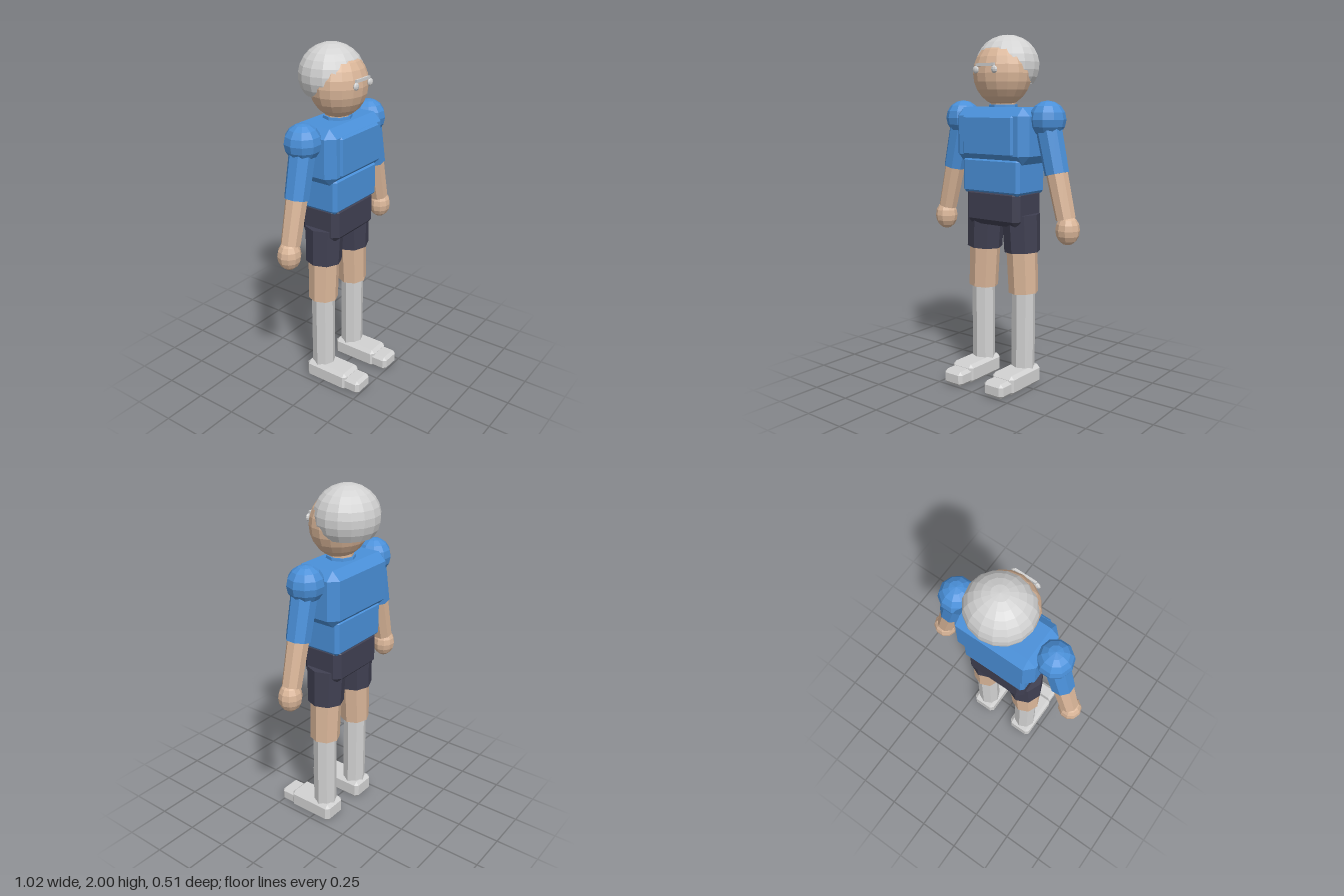
import * as THREE from 'three';
import { ConvexGeometry } from 'three/addons/geometries/ConvexGeometry.js';

const flat = (name, color) => {
  const m = new THREE.MeshStandardMaterial({ color, flatShading: true });
  m.name = name;
  return m;
};

export function createModel() {
  const model = new THREE.Group();
  model.name = 'figure';
  const blue = flat('shirtBlue', 0x4a90d9);
  const navy = flat('shortsDark', 0x404052);
  const skin = flat('skin', 0xdab699);
  const grey = flat('lightGrey', 0xd2d2d2);
  grey.side = THREE.DoubleSide;

  const add = (name, geometry, material, parent = model) => {
    const mesh = new THREE.Mesh(geometry, material);
    mesh.name = name;
    parent.add(mesh);
    return mesh;
  };

  // Box with every edge cut at 45 degrees, given by its limits
  const chamferBox = (name, [x0, x1], [y0, y1], [z0, z1], c, material, parent) => {
    const half = [(x1 - x0) / 2, (y1 - y0) / 2, (z1 - z0) / 2];
    const points = [];
    for (const sx of [-1, 1]) for (const sy of [-1, 1]) for (const sz of [-1, 1])
      for (let axis = 0; axis < 3; axis++) {
        const p = half.map((h, i) => (i === axis ? h : h - c));
        points.push(new THREE.Vector3(p[0] * sx, p[1] * sy, p[2] * sz));
      }
    const mesh = add(name, new ConvexGeometry(points), material, parent);
    mesh.position.set((x0 + x1) / 2, (y0 + y1) / 2, (z0 + z1) / 2);
    return mesh;
  };

  // Tapered eight-sided limb between an upper and a lower point
  const limb = (name, top, bottom, rTop, rBottom, material, parent, turn = 0) => {
    const a = new THREE.Vector3(...top), b = new THREE.Vector3(...bottom);
    const geometry = new THREE.CylinderGeometry(rTop, rBottom, a.distanceTo(b), 8).rotateY(turn);
    const mesh = add(name, geometry, material, parent);
    mesh.position.copy(a).add(b).multiplyScalar(0.5);
    mesh.quaternion.setFromUnitVectors(new THREE.Vector3(0, 1, 0), a.sub(b).normalize());
    return mesh;
  };

  const ball = (name, center, radii, material, parent, w = 16, h = 12, cut = Math.PI) => {
    const geometry = new THREE.SphereGeometry(1, w, h, 0, Math.PI * 2, 0, cut).scale(...radii);
    const mesh = add(name, geometry, material, parent);
    mesh.position.set(...center);
    return mesh;
  };

  // Head, hair cap and neck
  ball('head', [0, 1.785, -0.03], [0.173, 0.18, 0.155], skin);
  ball('hair', [0, 1.83, -0.079], [0.185, 0.17, 0.177], grey, model, 16, 9, Math.PI * 0.7);
  limb('neck', [0, 1.66, -0.04], [0, 1.58, -0.04], 0.07, 0.07, skin);
  limb('collar', [0, 1.615, -0.04], [0, 1.58, -0.04], 0.08, 0.085, blue);

  // Glasses: two small lenses under a thin bar
  const glasses = new THREE.Group();
  glasses.name = 'glasses';
  model.add(glasses);
  for (const s of [-1, 1])
    ball('lens', [s * 0.064, 1.803, 0.126], [0.021, 0.021, 0.012], grey, glasses, 8, 6);
  const bar = add('glassesBar', new THREE.BoxGeometry(0.125, 0.016, 0.012), grey, glasses);
  bar.position.set(0, 1.829, 0.123);

  // Torso and hips
  chamferBox('chest', [-0.253, 0.253], [1.288, 1.6], [-0.19, 0.105], 0.047, blue);
  chamferBox('chestPanel', [-0.178, 0.178], [1.33, 1.555], [0.085, 0.117], 0.012, blue);
  chamferBox('waist', [-0.2, 0.2], [1.115, 1.32], [-0.17, 0.09], 0.018, blue);
  chamferBox('hips', [-0.19, 0.19], [0.935, 1.15], [-0.165, 0.086], 0.034, navy);

  for (const s of [-1, 1]) {
    const side = s > 0 ? 'left' : 'right';

    // Arm
    const arm = new THREE.Group();
    arm.name = side + 'Arm';
    model.add(arm);
    const turn = Math.PI / 8;
    ball('shoulder', [s * 0.3, 1.535, -0.043], [0.102, 0.102, 0.102], blue, arm, 10, 8);
    limb('sleeve', [s * 0.302, 1.52, -0.04], [s * 0.366, 1.243, -0.04], 0.073, 0.068, blue, arm, turn);
    limb('forearm', [s * 0.36, 1.27, -0.04], [s * 0.427, 1.0, -0.04], 0.061, 0.055, skin, arm, turn);
    ball('hand', [s * 0.44, 0.942, -0.04], [0.068, 0.083, 0.065], skin, arm, 10, 8);

    // Leg
    const leg = new THREE.Group();
    leg.name = side + 'Leg';
    model.add(leg);
    limb('shortsLeg', [s * 0.126, 1.0, -0.04], [s * 0.137, 0.787, -0.04], 0.109, 0.103, navy, leg);
    limb('thigh', [s * 0.133, 0.83, -0.04], [s * 0.147, 0.55, -0.04], 0.09, 0.086, skin, leg);
    limb('sock', [s * 0.147, 0.56, -0.04], [s * 0.147, 0.08, -0.04], 0.068, 0.068, grey, leg);

    // Shoe with a lower toe cap
    const across = (a, b) => (s > 0 ? [a, b] : [-b, -a]);
    chamferBox('shoe', across(0.072, 0.224), [0, 0.112], [-0.118, 0.17], 0.02, grey, leg);
    chamferBox('toeCap', across(0.081, 0.214), [0.004, 0.09], [0.1, 0.255], 0.018, grey, leg);
  }
  return model;
}
